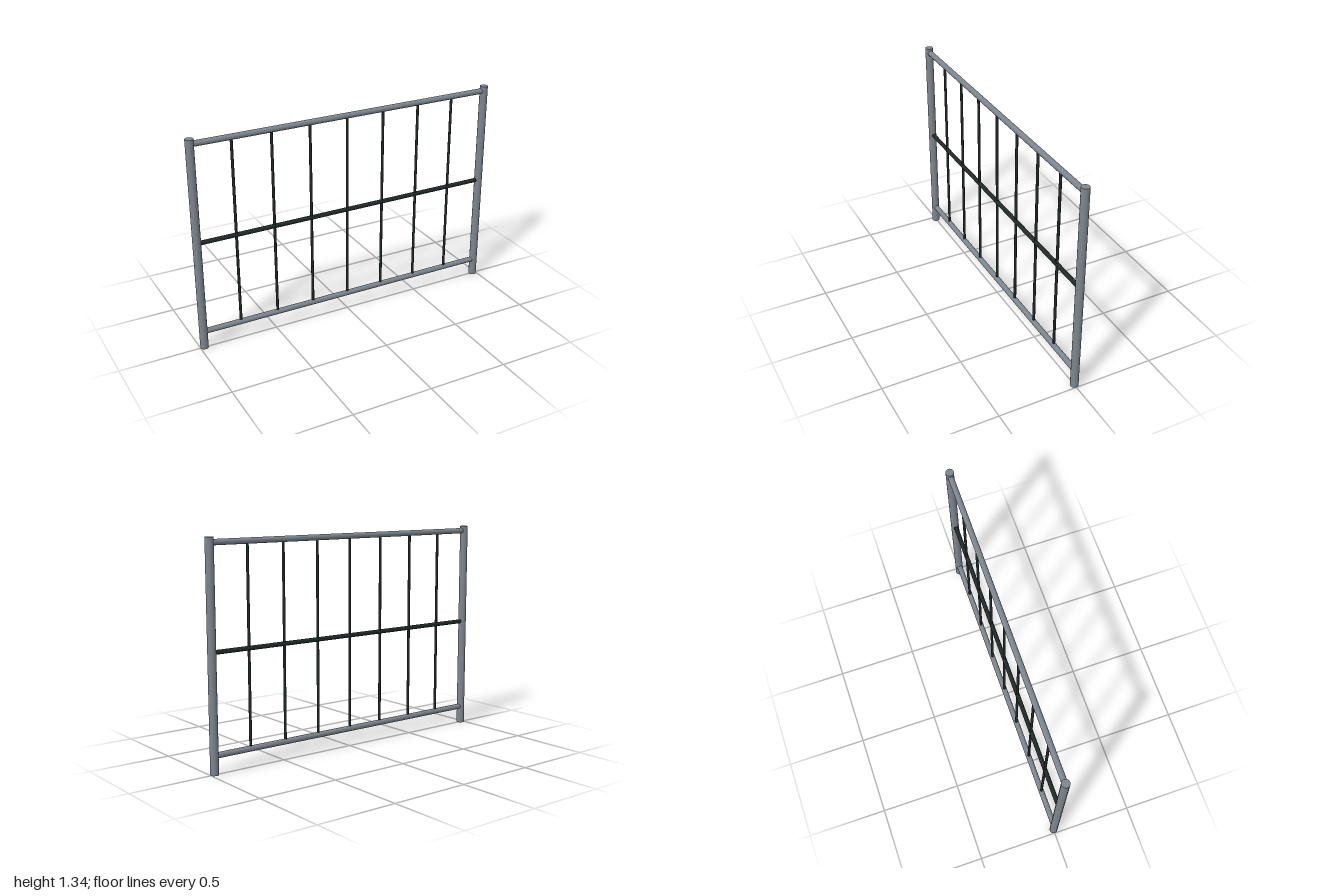
import * as THREE from 'three';

export function createModel() {
  const group = new THREE.Group();
  const steel = new THREE.MeshStandardMaterial({ color: 0x7d868e });
  steel.name = 'grey steel';
  const dark = new THREE.MeshStandardMaterial({ color: 0x202828 });
  dark.name = 'dark steel';

  const height = 1.34, postX = 0.975, topY = 1.309, midY = 0.7, bottomY = 0.111;

  function tube(name, radius, length, sides, material, x, y, horizontal = false) {
    const geometry = new THREE.CylinderGeometry(radius, radius, length, sides);
    if (horizontal) geometry.rotateZ(Math.PI / 2);
    const mesh = new THREE.Mesh(geometry, material);
    mesh.name = name;
    mesh.position.set(x, y, 0);
    group.add(mesh);
  }

  // End posts
  tube('leftPost', 0.025, height, 20, steel, postX, height / 2);
  tube('rightPost', 0.025, height, 20, steel, -postX, height / 2);

  // Horizontal rails between the posts
  tube('topRail', 0.0175, postX * 2, 16, steel, 0, topY, true);
  tube('middleRail', 0.0135, postX * 2, 12, dark, 0, midY, true);
  tube('bottomRail', 0.0175, postX * 2, 16, steel, 0, bottomY, true);

  // Seven evenly spaced upright bars
  const spacing = postX / 4;
  for (let i = -3; i <= 3; i++) {
    tube(`bar${i + 4}`, 0.0085, topY - bottomY, 10, dark, i * spacing, (topY + bottomY) / 2);
  }
  return group;
}
